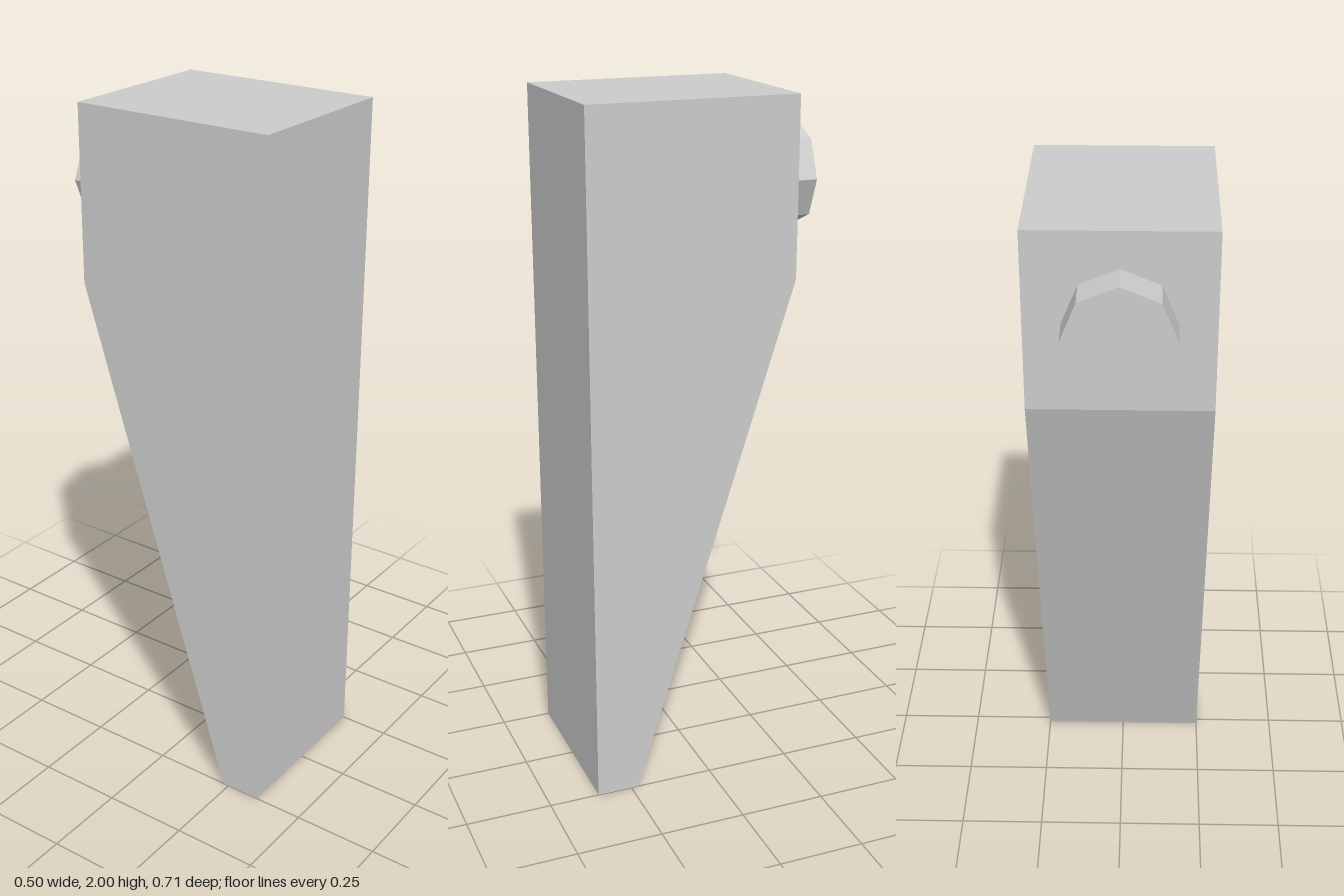
import * as THREE from 'three';

const WIDTH = 0.5;
const FRONT = 0.353; // z of the front face
const BACK = -0.247; // z of the upper back face
const PEG_RADIUS = 0.15;

export function createModel() {
  const group = new THREE.Group();
  const material = new THREE.MeshStandardMaterial({ color: 0xcccccc, flatShading: true });

  // Tapered body: side profile drawn as (-z, y), extruded across the width
  const profile = new THREE.Shape([
    [-FRONT, 0], [-0.23, 0], [-BACK, 1.5], [-BACK, 2], [-FRONT, 2],
  ].map(([x, y]) => new THREE.Vector2(x, y)));
  const bodyGeometry = new THREE.ExtrudeGeometry(profile, { depth: WIDTH, bevelEnabled: false });
  bodyGeometry.translate(0, 0, -WIDTH / 2).rotateY(Math.PI / 2);
  const body = new THREE.Mesh(bodyGeometry, material);
  body.name = 'taperedBody';
  group.add(body);

  // Octagonal peg on the upper back, one corner pointing up
  const pegLength = FRONT + BACK;
  const pegGeometry = new THREE.CylinderGeometry(PEG_RADIUS, PEG_RADIUS, pegLength, 8);
  pegGeometry.rotateX(Math.PI / 2);
  const peg = new THREE.Mesh(pegGeometry, material);
  peg.name = 'backPeg';
  peg.position.set(0, 1.75, BACK - pegLength / 2);
  group.add(peg);

  return group;
}
